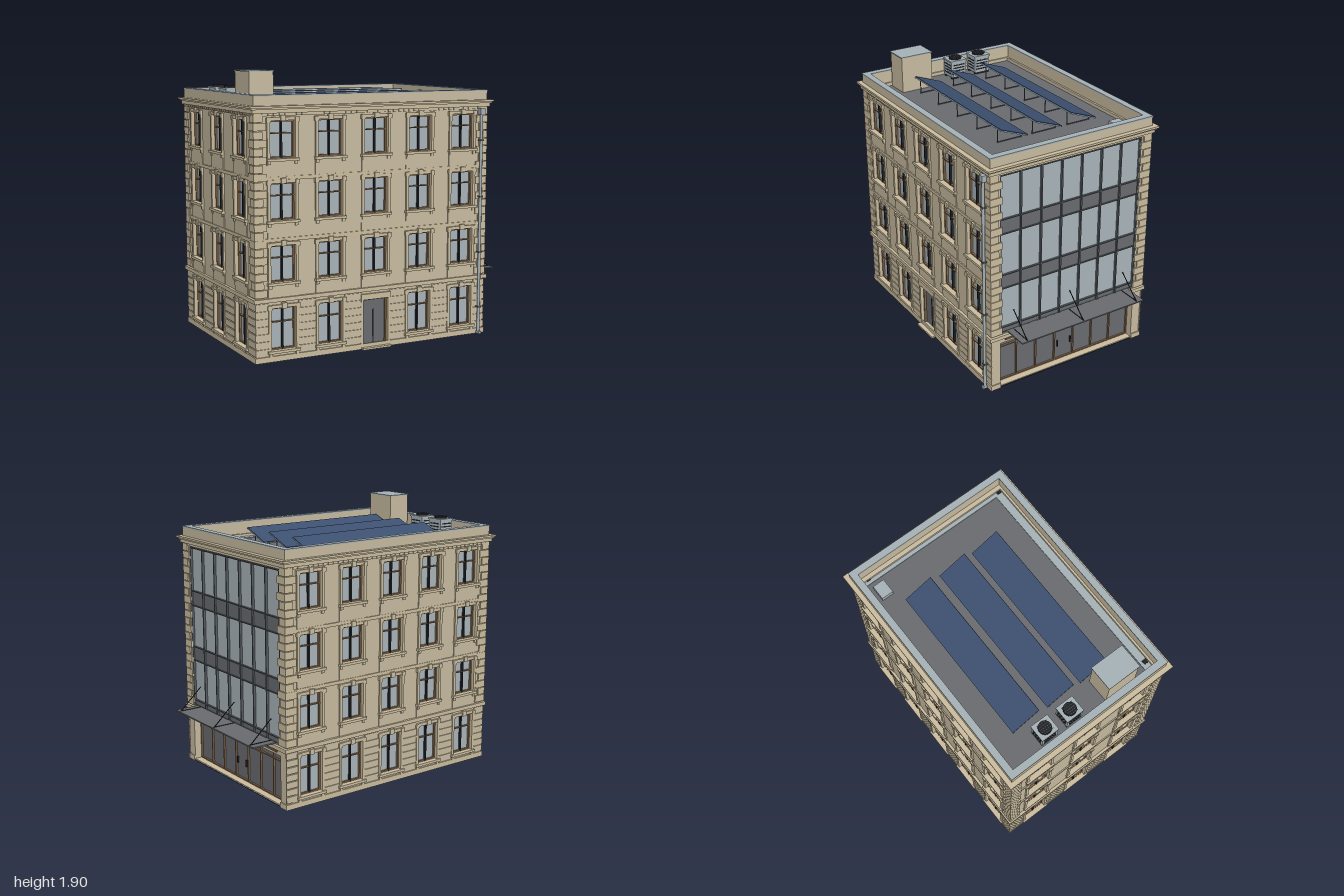
import * as THREE from 'three';

const mat = (name, color) => Object.assign(new THREE.MeshStandardMaterial({ color }), { name });

export function createModel() {
  const stone = mat('stone', 0xc8bba0), trim = mat('trim stone', 0xcbbd9f);
  const glass = mat('pale glass', 0xa9b4b9), slate = mat('slate grey', 0x696b70);
  const brown = mat('brown frame', 0x86694c), dark = mat('near black', 0x222326);
  const metal = mat('pale metal', 0xa6b2b8), steel = mat('steel', 0x565d63);
  const blue = mat('solar blue', 0x3d5070);

  const model = new THREE.Group();
  model.name = 'building';
  const CX = -0.07, HX = 0.888, HZ = 0.635; // wall centre and half sizes

  const add = (parent, name, geo, m, x = 0, y = 0, z = 0) => {
    const mesh = new THREE.Mesh(geo, m);
    mesh.name = name;
    mesh.position.set(x, y, z);
    parent.add(mesh);
    return mesh;
  };
  const box = (parent, name, m, w, h, d, x, y, z) =>
    add(parent, name, new THREE.BoxGeometry(w, h, d), m, x, y, z);
  // box given by its bounds
  const span = (parent, name, m, x0, x1, y0, y1, z0, z1) =>
    box(parent, name, m, x1 - x0, y1 - y0, z1 - z0, (x0 + x1) / 2, (y0 + y1) / 2, (z0 + z1) / 2);
  const group = (parent, name, x = 0, y = 0, z = 0, ry = 0) => {
    const g = new THREE.Group();
    g.name = name;
    g.position.set(x, y, z);
    g.rotation.y = ry;
    parent.add(g);
    return g;
  };
  const trace = (path, x0, x1, y0, y1) =>
    path.moveTo(x0, y0).lineTo(x1, y0).lineTo(x1, y1).lineTo(x0, y1).closePath();
  const rect = (Type, ...b) => { const p = new Type(); trace(p, ...b); return p; };
  // vertical wall with rectangular openings, outer face on z = 0
  const wall = (parent, half, holes, depth) => {
    const s = rect(THREE.Shape, -half, half, 0.006, 1.66);
    holes.forEach(h => s.holes.push(rect(THREE.Path, ...h)));
    add(parent, 'wall', new THREE.ExtrudeGeometry(s, { depth, bevelEnabled: false }), stone, 0, 0, -depth);
  };
  // horizontal ring around the building
  const ring = (name, m, hx, hz, ix, iz, y0, y1) => {
    const s = rect(THREE.Shape, -hx, hx, -hz, hz);
    s.holes.push(rect(THREE.Path, -ix, ix, -iz, iz));
    const g = new THREE.ExtrudeGeometry(s, { depth: y1 - y0, bevelEnabled: false }).rotateX(-Math.PI / 2);
    add(model, name, g, m, CX, y0, 0);
  };
  const rod = (parent, name, m, a, b, r, n = 8) => {
    const A = new THREE.Vector3(...a), d = new THREE.Vector3(...b).sub(A);
    const mesh = add(parent, name, new THREE.CylinderGeometry(r, r, d.length(), n), m);
    mesh.position.copy(A).addScaledVector(d, 0.5);
    mesh.quaternion.setFromUnitVectors(new THREE.Vector3(0, 1, 0), d.normalize());
  };

  // one window: glazing, bars and stone surround
  const FLOORS = [[0.075, 0.36], [0.53, 0.775], [0.94, 1.185], [1.345, 1.59]];
  const WW = 0.09;
  const windowUnit = (parent, x, y0, y1) => {
    const g = group(parent, 'window', x);
    const bar = y1 - (y1 - y0) * 0.34;
    span(g, 'windowPane', glass, -WW, WW, y0, y1, -0.035, -0.028);
    for (const s of [-1, 1]) {
      box(g, 'windowFrameSide', brown, 0.01, y1 - y0, 0.014, s * (WW - 0.005), (y0 + y1) / 2, -0.021);
      box(g, 'surroundSide', trim, 0.02, y1 - y0, 0.012, s * (WW + 0.01), (y0 + y1) / 2, 0.006);
      box(g, 'surroundEar', trim, 0.03, 0.03, 0.018, s * (WW + 0.012), y1 + 0.005, 0.009);
      box(g, 'sillBracket', trim, 0.022, 0.022, 0.014, s * (WW + 0.006), y0 - 0.028, 0.007);
    }
    span(g, 'windowFrameTop', brown, -WW, WW, y1 - 0.01, y1, -0.028, -0.014);
    span(g, 'windowFrameBottom', brown, -WW, WW, y0, y0 + 0.01, -0.028, -0.014);
    span(g, 'transom', brown, -WW, WW, bar - 0.004, bar + 0.004, -0.028, -0.013);
    span(g, 'mullion', dark, -0.006, 0.006, y0, y1, -0.028, -0.012);
    span(g, 'lintel', trim, -WW - 0.02, WW + 0.02, y1, y1 + 0.022, 0, 0.014);
    span(g, 'keystone', trim, -0.018, 0.018, y1 - 0.004, y1 + 0.034, 0, 0.022);
    span(g, 'sill', trim, -WW - 0.026, WW + 0.026, y0 - 0.018, y0, -0.028, 0.024);
  };

  // alternating corner stones on both ends of a facade
  const quoins = (g, half) => {
    for (let i = 0; i < 22; i++) {
      const w = i % 2 ? 0.066 : 0.09, y = 0.437 + i * 0.0545;
      for (const s of [-1, 1]) box(g, 'quoin', trim, w, 0.05, 0.01, s * (half + 0.01 - w / 2), y + 0.025, 0.005);
    }
  };

  // full stone facade with windows and optional door column
  const facade = (name, half, cols, x, z, ry, doorCol = -1) => {
    const g = group(model, name, x, 0, z, ry);
    const holes = [];
    FLOORS.forEach(([y0, y1], f) => cols.forEach((c, i) => {
      if (f === 0 && i === doorCol) return holes.push([c - 0.097, c + 0.097, 0.02, 0.345]);
      holes.push([c - WW, c + WW, y0, y1]);
      windowUnit(g, c, y0, y1);
      if (f) {
        const base = [0, 0.43, 0.825, 1.227][f];
        span(g, 'apron', stone, c - WW - 0.02, c + WW + 0.02, base, y0 - 0.018, 0, 0.006);
      }
    }));
    wall(g, half, holes, 0.05);
    quoins(g, half);
    span(g, 'plinth', trim, -half - 0.01, half + 0.01, 0, 0.038, 0, 0.01);
    for (const y of [0.812, 1.215]) span(g, 'stringCourse', trim, -half, half, y - 0.012, y + 0.012, 0, 0.008);
    // rusticated ground floor between the openings
    const edges = [-half - 0.006, ...cols.flatMap(c => [c - WW - 0.02, c + WW + 0.02]), half + 0.006];
    for (let b = 0; b < 7; b++) for (let e = 0; e < edges.length; e += 2)
      span(g, 'rusticBand', stone, edges[e], edges[e + 1], 0.046 + b * 0.051, 0.09 + b * 0.051, 0, 0.007);
    return g;
  };

  const cols5 = [-2, -1, 0, 1, 2].map(i => i * 0.346);
  const front = facade('frontFacade', HX, cols5, CX, HZ, 0, 2);
  facade('backFacade', HX, cols5, CX, -HZ, Math.PI);
  facade('leftHandFacade', HZ, [-0.4, 0, 0.4], CX - HX, 0, -Math.PI / 2);

  // entrance door
  const door = group(front, 'entranceDoor');
  span(door, 'doorLeaf', slate, -0.097, 0.097, 0.02, 0.345, -0.04, -0.03);
  span(door, 'doorSeam', dark, -0.003, 0.003, 0.03, 0.265, -0.03, -0.026);
  for (const s of [-1, 1]) {
    box(door, 'doorJamb', brown, 0.01, 0.325, 0.016, s * 0.092, 0.182, -0.022);
    box(door, 'doorSurround', trim, 0.018, 0.35, 0.012, s * 0.106, 0.193, 0.006);
  }
  span(door, 'doorHead', brown, -0.097, 0.097, 0.335, 0.345, -0.03, -0.014);
  span(door, 'doorLintel', trim, -0.115, 0.115, 0.345, 0.385, 0, 0.016);
  span(door, 'doorStep', trim, -0.11, 0.11, 0, 0.013, 0.01, 0.04);

  // glazed side: curtain wall above, recessed shop front below
  const side = group(model, 'glazedFacade', CX + HX, 0, 0, Math.PI / 2);
  const GW = 0.565;
  wall(side, HZ, [[-GW, GW, 0.012, 0.36], [-GW, GW, 0.435, 1.635]], 0.07);
  quoins(side, HZ);
  span(side, 'curtainGlass', glass, -GW, GW, 0.435, 1.635, -0.03, -0.02);
  for (const [y0, y1] of [[0.435, 0.475], [0.778, 0.88], [1.187, 1.293], [1.607, 1.635]]) {
    span(side, 'spandrel', slate, -GW, GW, y0, y1, -0.02, -0.014);
    for (const y of [y0, y1]) box(side, 'curtainRail', steel, GW * 2, 0.007, 0.014, 0, y, -0.013);
  }
  span(side, 'shopGlass', slate, -GW, GW, 0.012, 0.36, -0.075, -0.065);
  for (let i = 0; i <= 7; i++) {
    const x = -GW + 0.004 + i * (GW * 2 - 0.008) / 7;
    span(side, 'curtainMullion', steel, x - 0.005, x + 0.005, 0.435, 1.635, -0.02, -0.002);
    span(side, 'shopMullion', brown, x - 0.005, x + 0.005, 0.012, 0.36, -0.065, -0.052);
  }
  for (const y of [0.018, 0.29, 0.354]) box(side, 'shopRail', brown, GW * 2, 0.009, 0.013, 0, y, -0.058);
  for (const s of [-1, 1]) {
    box(side, 'doorHandle', dark, 0.007, 0.05, 0.012, s * 0.055, 0.145, -0.055);
    span(side, 'pierPlinth', trim, s > 0 ? GW : -HZ - 0.01, s > 0 ? HZ + 0.01 : -GW, 0, 0.038, 0, 0.008);
  }
  span(side, 'shopThreshold', trim, -GW, GW, 0.01, 0.014, -0.07, 0);
  span(side, 'shopLightStrip', brown, -0.53, 0.53, 0.38, 0.392, 0, 0.01);

  // canopy hung on rods
  const canopy = group(model, 'canopy');
  span(canopy, 'canopySlab', slate, 0.818, 1, 0.434, 0.443, -0.513, 0.508);
  for (const z of [-0.46, 0, 0.46]) {
    rod(canopy, 'canopyRod', dark, [0.818, 0.595, z], [0.985, 0.443, z], 0.0035);
    span(canopy, 'canopyRib', dark, 0.82, 0.99, 0.443, 0.446, z - 0.003, z + 0.003);
  }

  // base, belt course, cornice, parapet and coping
  span(model, 'base', dark, CX - HX, CX + HX, 0, 0.01, -HZ, HZ);
  ring('beltCourse', trim, 0.908, 0.655, 0.86, 0.6, 0.403, 0.43);
  ring('corniceLower', trim, 0.91, 0.658, 0.85, 0.6, 1.638, 1.662);
  ring('corniceUpper', trim, 0.93, 0.677, 0.85, 0.6, 1.672, 1.686);
  ring('corniceMiddle', stone, 0.92, 0.667, 0.85, 0.6, 1.662, 1.672);
  ring('parapet', stone, 0.895, 0.643, 0.85, 0.6, 1.62, 1.747);
  ring('coping', metal, 0.897, 0.646, 0.847, 0.597, 1.747, 1.756);
  for (let i = 0; i < 44; i++) for (const s of [-1, 1])
    box(model, 'dentil', trim, 0.02, 0.018, 0.014, CX - HX + 0.02 + i * 0.0403, 1.63, s * (HZ + 0.006));
  for (let i = 0; i < 31; i++)
    box(model, 'dentil', trim, 0.014, 0.018, 0.02, CX - HX - 0.006, 1.63, -HZ + 0.02 + i * 0.0405);

  // roof with gutters and drains
  const ROOF = 1.635;
  span(model, 'roof', slate, CX - 0.86, CX + 0.86, 1.615, ROOF, -0.61, 0.61);
  span(model, 'frontGutter', metal, -0.92, 0.785, ROOF, ROOF + 0.006, 0.53, 0.6);
  span(model, 'sideGutter', metal, 0.72, 0.785, ROOF, ROOF + 0.006, -0.6, 0.53);
  for (const [x, z] of [[-0.85, 0.567], [0.745, 0.567], [0.76, -0.545]])
    box(model, 'drain', dark, 0.032, 0.005, 0.032, x, ROOF + 0.008, z);
  span(model, 'roofHatch', metal, 0.57, 0.68, ROOF, ROOF + 0.035, -0.555, -0.468);

  // stair head
  span(model, 'stairHead', stone, -0.902, -0.73, ROOF, 1.897, 0.188, 0.432);
  span(model, 'stairHeadCap', metal, -0.908, -0.725, 1.897, 1.905, 0.182, 0.437);

  // air conditioning units
  for (const z of [-0.272, -0.068]) {
    const ac = group(model, 'airConditioner', -0.83, ROOF, z);
    box(ac, 'acBody', metal, 0.116, 0.115, 0.125, 0, 0.0725, 0);
    box(ac, 'acLid', metal, 0.124, 0.012, 0.136, 0, 0.136, 0);
    for (const s of [-1, 1]) box(ac, 'acFoot', dark, 0.016, 0.015, 0.12, s * 0.045, 0.0075, 0);
    for (let i = 0; i < 4; i++) {
      box(ac, 'acLouvre', dark, 0.09, 0.009, 0.128, 0, 0.04 + i * 0.022, 0);
      box(ac, 'acLouvre', dark, 0.119, 0.009, 0.095, 0, 0.04 + i * 0.022, 0);
    }
    add(ac, 'acFan', new THREE.CylinderGeometry(0.046, 0.046, 0.012, 24), dark, 0, 0.148, 0);
    for (let i = -2; i <= 2; i++) box(ac, 'acFanGuard', steel, 0.003, 0.004, 0.08, i * 0.017, 0.155, 0);
  }

  // tilted solar rows on legs, high edge to the front
  for (const z of [-0.328, -0.043, 0.232]) {
    const row = group(model, 'solarRow', -0.12, 0, z);
    const tilt = new THREE.Group();
    tilt.name = 'solarPanel';
    tilt.position.y = 1.705;
    tilt.rotation.x = -0.36;
    row.add(tilt);
    box(tilt, 'solarFrame', metal, 1.18, 0.006, 0.228, 0, -0.004, 0);
    box(tilt, 'solarCells', blue, 1.178, 0.006, 0.227, 0, 0.002, 0);
    for (let i = 0; i < 5; i++) {
      const x = -0.53 + i * 0.265;
      rod(row, 'solarRearLeg', steel, [x, ROOF, 0.095], [x, 1.737, 0.095], 0.004, 6);
      rod(row, 'solarLowLeg', steel, [x, ROOF, -0.09], [x, 1.67, -0.09], 0.004, 6);
      rod(row, 'solarFoot', steel, [x, ROOF + 0.004, -0.09], [x, ROOF + 0.004, 0.095], 0.004, 6);
    }
  }

  // rainwater downpipe
  const pipe = group(model, 'downpipe', 0.768, 0, 0.661);
  rod(pipe, 'pipe', metal, [0, 0.02, 0], [0, 1.6, 0], 0.0105, 12);
  box(pipe, 'hopper', metal, 0.038, 0.045, 0.034, 0, 1.605, 0);
  box(pipe, 'pipeShoe', metal, 0.022, 0.018, 0.036, 0, 0.012, 0.004);
  for (const y of [0.2, 0.6, 1.0, 1.4]) box(pipe, 'pipeClip', steel, 0.028, 0.01, 0.032, 0, y, -0.004);

  return model;
}
